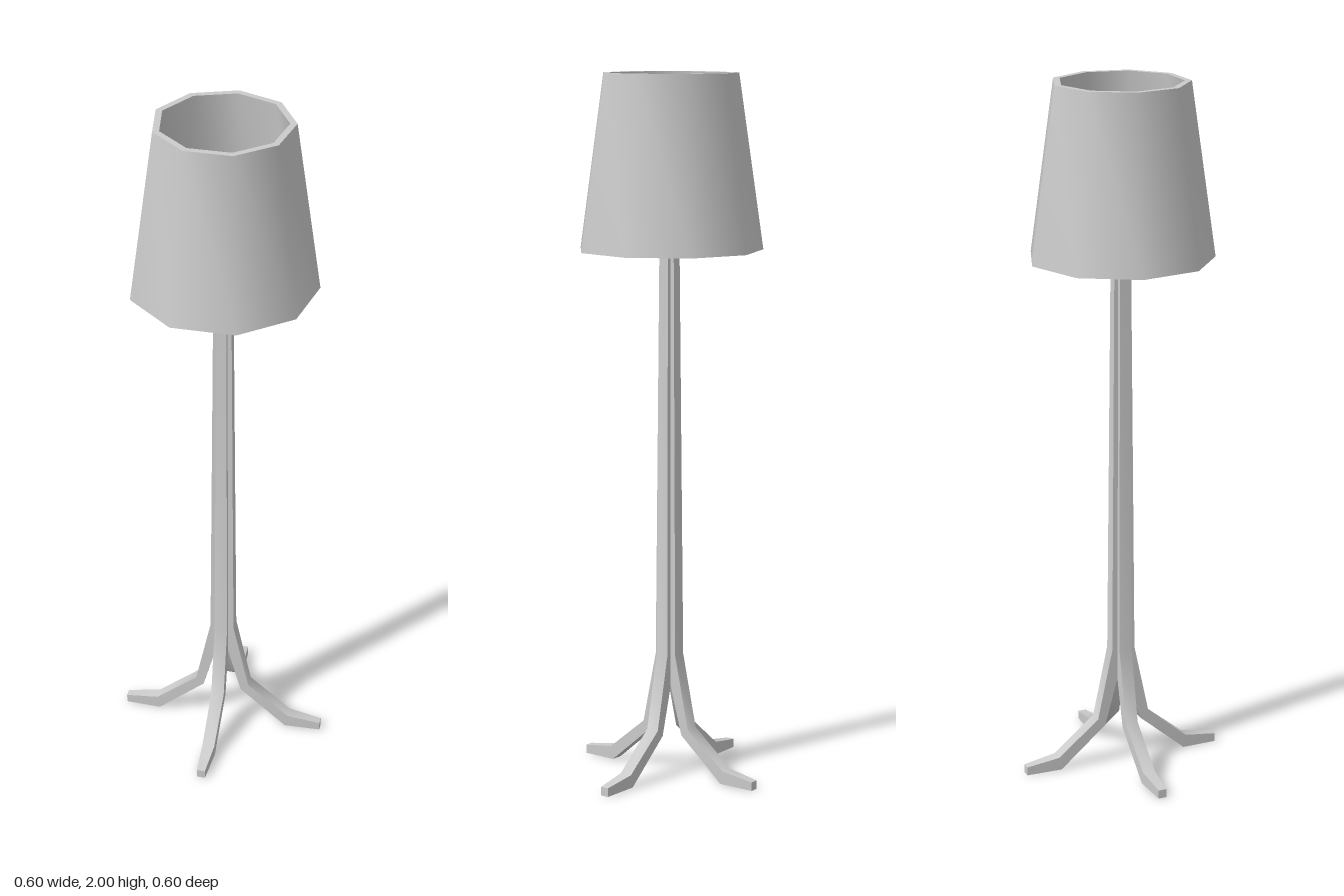
import * as THREE from 'three';
import { toCreasedNormals } from 'three/addons/utils/BufferGeometryUtils.js';

const grey = new THREE.MeshStandardMaterial({ color: 0xcccccc });

function addMesh(parent, name, geometry) {
  const mesh = new THREE.Mesh(geometry, grey);
  mesh.name = name;
  parent.add(mesh);
  return mesh;
}

// Leg strip swept from the column top to the toe:
// [outer radius, outer y, inner radius, inner y, half width]
const legSections = [
  [0.024, 1.64, 0, 1.64, 0.013],
  [0.035, 0.35, 0, 0.33, 0.019],
  [0.08, 0.14, 0.057, 0.12, 0.019],
  [0.203, 0.04, 0.195, 0.002, 0.018],
  [0.3, 0.025, 0.3, 0, 0.012],
];

function legGeometry() {
  const positions = [];
  const index = [];
  for (const [ro, yo, ri, yi, w] of legSections) {
    positions.push(ro, yo, w, ro, yo, -w, ri, yi, -w, ri, yi, w);
  }
  const last = (legSections.length - 1) * 4;
  for (let s = 0; s < last; s += 4) {
    for (let i = 0; i < 4; i++) {
      const j = (i + 1) % 4;
      index.push(s + i, s + 4 + i, s + 4 + j, s + i, s + 4 + j, s + j);
    }
  }
  // End caps
  index.push(0, 1, 2, 0, 2, 3);
  index.push(last, last + 2, last + 1, last, last + 3, last + 2);
  const geometry = new THREE.BufferGeometry();
  geometry.setAttribute('position', new THREE.Float32BufferAttribute(positions, 3));
  geometry.setIndex(index);
  return toCreasedNormals(geometry, 0.75);
}

// Nine-sided tapered shade with wall thickness
function shadeGeometry() {
  const profile = [
    [0.263, 1.51], [0.193, 2], [0.174, 2], [0.243, 1.51], [0.263, 1.51],
  ].map(([r, y]) => new THREE.Vector2(r, y));
  const geometry = new THREE.LatheGeometry(profile, 9);
  geometry.rotateY(Math.PI);
  return toCreasedNormals(geometry, 0.8);
}

export function createModel() {
  const lamp = new THREE.Group();
  lamp.name = 'floorLamp';

  // Four legs whose upper parts join into the column
  const stand = new THREE.Group();
  stand.name = 'stand';
  lamp.add(stand);
  const leg = legGeometry();
  ['leftLeg', 'backLeg', 'rightLeg', 'frontLeg'].forEach((name, i) => {
    addMesh(stand, name, leg).rotation.y = i * Math.PI / 2;
  });

  // Bulb resting on the column
  const bulb = new THREE.SphereGeometry(0.057, 7, 6);
  bulb.rotateY(-Math.PI / 2);
  addMesh(lamp, 'bulb', bulb).position.y = 1.68;

  addMesh(lamp, 'shade', shadeGeometry());
  return lamp;
}
